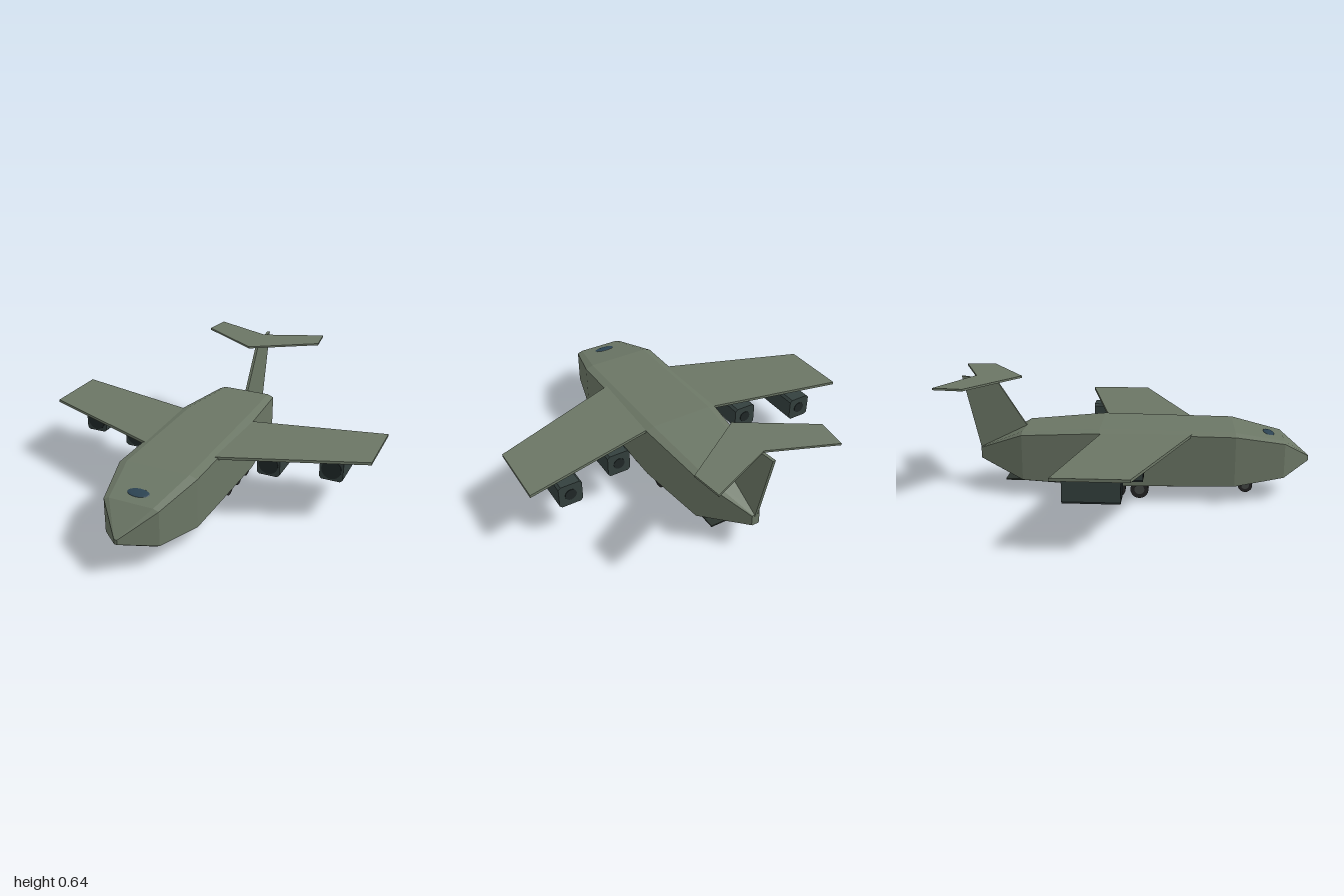
import * as THREE from 'three';

const mat = (color) => new THREE.MeshStandardMaterial({ color, flatShading: true });

// Horizontal plate from [x, z] corners, top-down outline extruded upward from y
function flatPlate(points, y, thickness) {
  const shape = new THREE.Shape(points.map(([x, z]) => new THREE.Vector2(x, -z)));
  return new THREE.ExtrudeGeometry(shape, { depth: thickness, bevelEnabled: false })
    .rotateX(-Math.PI / 2).translate(0, y, 0);
}

// Chamfered rectangular ring, counter-clockwise seen from the front
function ring([z, hw, y0, y1]) {
  const ix = hw * 0.8, c = (y1 - y0) * 0.05;
  return [[ix, y0], [hw, y0 + c], [hw, y1 - c], [ix, y1],
    [-ix, y1], [-hw, y1 - c], [-hw, y0 + c], [-ix, y0]].map(([x, y]) => [x, y, z]);
}

// Skin over successive rings, closed at both ends
function loft(stations) {
  const rings = stations.map(ring), pos = [];
  const tri = (...p) => p.forEach((v) => pos.push(...v));
  for (let i = 0; i < rings.length - 1; i++) {
    for (let j = 0; j < 8; j++) {
      const k = (j + 1) % 8;
      const a = rings[i][j], b = rings[i][k], c = rings[i + 1][k], d = rings[i + 1][j];
      tri(a, d, c);
      tri(a, c, b);
    }
  }
  const first = rings[0], last = rings[rings.length - 1];
  for (let j = 1; j < 7; j++) {
    tri(first[0], first[j], first[j + 1]);
    tri(last[0], last[j + 1], last[j]);
  }
  const g = new THREE.BufferGeometry();
  g.setAttribute('position', new THREE.Float32BufferAttribute(pos, 3));
  g.computeVertexNormals();
  return g;
}

export function createModel() {
  const root = new THREE.Group();
  const paint = mat(0x6b7665), engineGrey = mat(0x34403e), fanDark = mat(0x202828);
  const tyre = mat(0x242424), hubGrey = mat(0x444846), glass = mat(0x2c4352), rampDark = mat(0x2c342e);
  const add = (name, geometry, material, parent = root) => {
    const m = new THREE.Mesh(geometry, material);
    m.name = name;
    parent.add(m);
    return m;
  };

  // Fuselage stations: z, half width, bottom, top
  add('fuselage', loft([
    [1.0, 0.008, 0.188, 0.215],
    [0.85, 0.15, 0.12, 0.33],
    [0.58, 0.22, 0.083, 0.387],
    [-0.15, 0.22, 0.07, 0.397],
    [-0.58, 0.177, 0.083, 0.365],
    [-0.845, 0.022, 0.17, 0.235],
  ]), paint);

  // Cockpit window, lying on the sloping nose roof
  const window = add('cockpitWindow', new THREE.SphereGeometry(1, 16, 8), glass);
  window.scale.set(0.06, 0.006, 0.031);
  window.position.set(0, 0.346, 0.775);
  window.rotation.x = 0.2;

  // Wings
  for (const s of [1, -1]) {
    const outline = [[0.2, 0.347], [0.95, 0.065], [0.95, -0.3], [0.2, -0.136]].map(([x, z]) => [s * x, z]);
    add(s > 0 ? 'leftWing' : 'rightWing', flatPlate(outline, 0.366, 0.015), paint);
  }

  // Tail fin: side outline as [-z, y]
  const finShape = new THREE.Shape([[0.58, 0.362], [0.845, 0.22], [0.938, 0.643], [0.85, 0.632], [0.74, 0.615]]
    .map(([x, y]) => new THREE.Vector2(x, y)));
  add('tailFin', new THREE.ExtrudeGeometry(finShape, { depth: 0.016, bevelEnabled: false })
    .translate(0, 0, -0.008).rotateY(Math.PI / 2), paint);

  // Swept tailplane on top of the fin
  add('tailplane', flatPlate([[0, -0.6], [0.365, -0.837], [0.345, -1], [0, -0.857], [-0.345, -1], [-0.365, -0.837]],
    0.635, 0.011), paint);

  // Cargo ramp under the tail
  add('cargoRamp', new THREE.BoxGeometry(0.294, 0.008, 0.14).translate(0, 0.088, -0.61), rampDark);

  // Engines: chamfered boxes with a round intake and exhaust
  const h = 0.065, c = 0.052;
  const box = new THREE.Shape([[c, -h], [h, -c], [h, c], [c, h], [-c, h], [-h, c], [-h, -c], [-c, -h]]
    .map(([x, y]) => new THREE.Vector2(x, y)));
  const podGeo = new THREE.ExtrudeGeometry(box, { depth: 0.278, bevelEnabled: false }).translate(0, 0, -0.139);
  const intakeGeo = new THREE.CylinderGeometry(0.055, 0.055, 0.006, 20).rotateX(Math.PI / 2);
  const exhaustGeo = new THREE.CylinderGeometry(0.032, 0.032, 0.006, 16).rotateX(Math.PI / 2);
  for (const s of [1, -1]) {
    for (const [x, z] of [[0.408, -0.041], [0.73, -0.13]]) {
      const engine = new THREE.Group();
      engine.name = 'engine';
      engine.position.set(s * x, 0.263, z);
      add('enginePod', podGeo, engineGrey, engine);
      add('intake', intakeGeo, fanDark, engine).position.z = 0.139;
      add('exhaust', exhaustGeo, fanDark, engine).position.z = -0.139;
      root.add(engine);
    }
  }

  // Wheels with hubs
  const wheel = (name, x, z, r, width) => {
    const g = new THREE.Group();
    g.name = name;
    g.position.set(x, r + 0.003, z);
    add('tyre', new THREE.CylinderGeometry(r, r, width, 20).rotateZ(Math.PI / 2), tyre, g);
    add('hub', new THREE.CylinderGeometry(r * 0.55, r * 0.55, width + 0.004, 16).rotateZ(Math.PI / 2), hubGrey, g);
    root.add(g);
  };
  for (const s of [1, -1]) {
    for (const z of [0.066, -0.06, -0.187]) wheel('mainWheel', s * 0.152, z, 0.05, 0.042);
    wheel('noseWheel', s * 0.029, 0.655, 0.04, 0.022);
  }
  return root;
}
